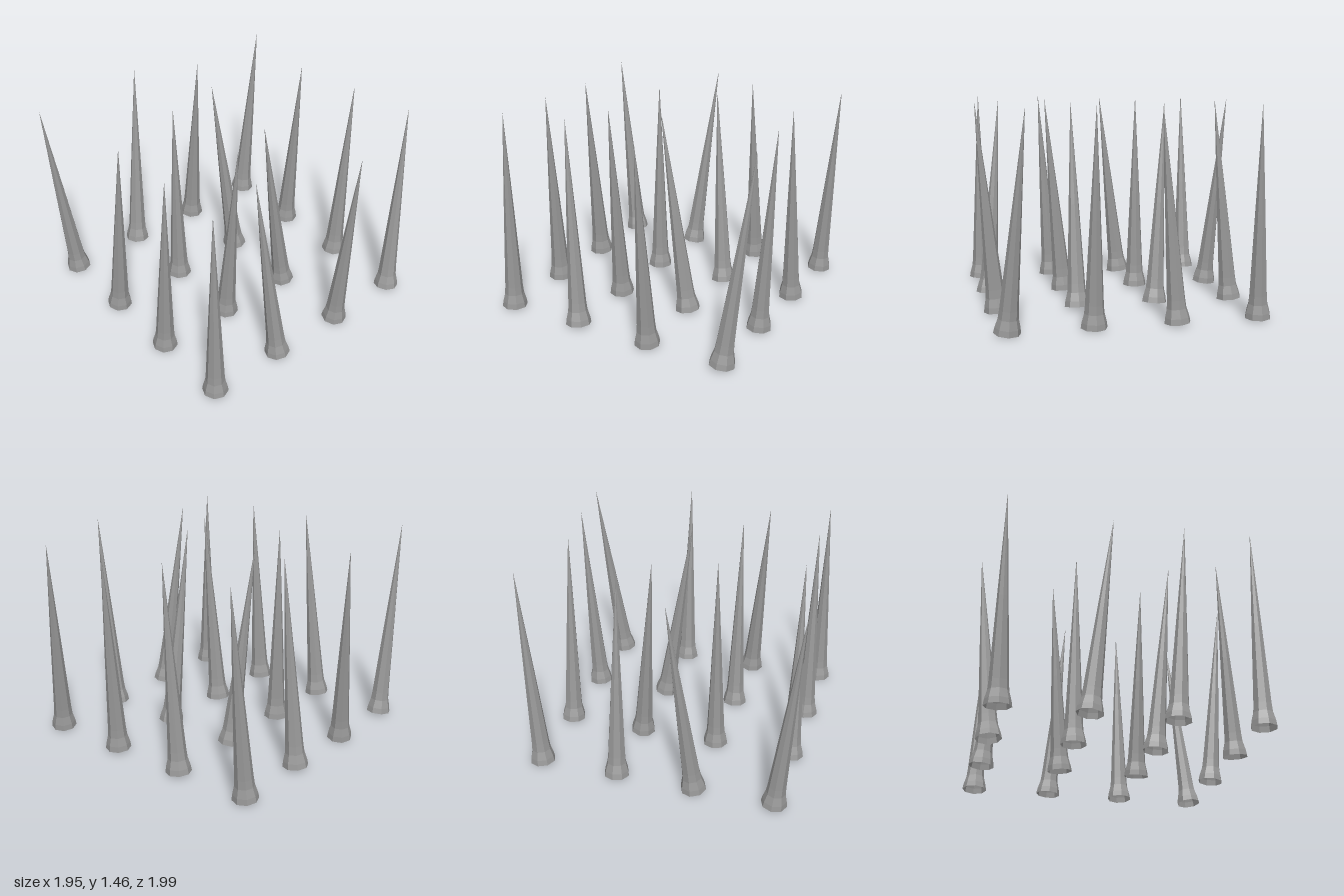
import * as THREE from 'three';

const LENGTH = 1.447;
const BASE_Y = 0.011;

// Faceted spike: flared, open foot and a long taper to a point
function spikeGeometry() {
  const profile = [
    [0.09, 0], [0.084, 0.04], [0.068, 0.1], [0.063, 0.16], [0.037, 0.72], [0.0008, LENGTH],
  ].map(([r, y]) => new THREE.Vector2(r, y));
  const geometry = new THREE.LatheGeometry(profile, 8).toNonIndexed();
  geometry.computeVertexNormals(); // one normal per facet
  return geometry;
}

// Sideways reach of each tip (x, z), row by row from back to front
const LEANS = [
  [[0.04, -0.11], [0.11, 0], [0, -0.09], [-0.11, -0.155]],
  [[0.13, 0], [-0.105, 0.13], [0, 0.215], [0.13, 0]],
  [[-0.11, -0.15], [0, 0], [0.13, 0], [-0.11, 0.13]],
  [[-0.02, 0.15], [0.155, 0], [0.09, 0], [0, 0]],
];
const COLUMNS = [-0.865, -0.297, 0.271, 0.84];
const ROWS = [-0.845, -0.282, 0.28, 0.843];

export function createModel() {
  const model = new THREE.Group();
  model.name = 'spikeField';
  const grey = new THREE.MeshStandardMaterial({ color: 0x999999, side: THREE.DoubleSide });
  grey.name = 'grey metal';
  const geometry = spikeGeometry();
  const up = new THREE.Vector3(0, 1, 0);

  // Four by four grid of spikes, each tilted about its foot
  LEANS.forEach((row, r) => row.forEach(([dx, dz], c) => {
    const spike = new THREE.Mesh(geometry, grey);
    spike.name = `spike${r * 4 + c + 1}`;
    spike.position.set(COLUMNS[c], BASE_Y, ROWS[r]);
    const height = Math.sqrt(LENGTH ** 2 - dx ** 2 - dz ** 2);
    spike.quaternion.setFromUnitVectors(up, new THREE.Vector3(dx, height, dz).normalize());
    model.add(spike);
  }));
  return model;
}
